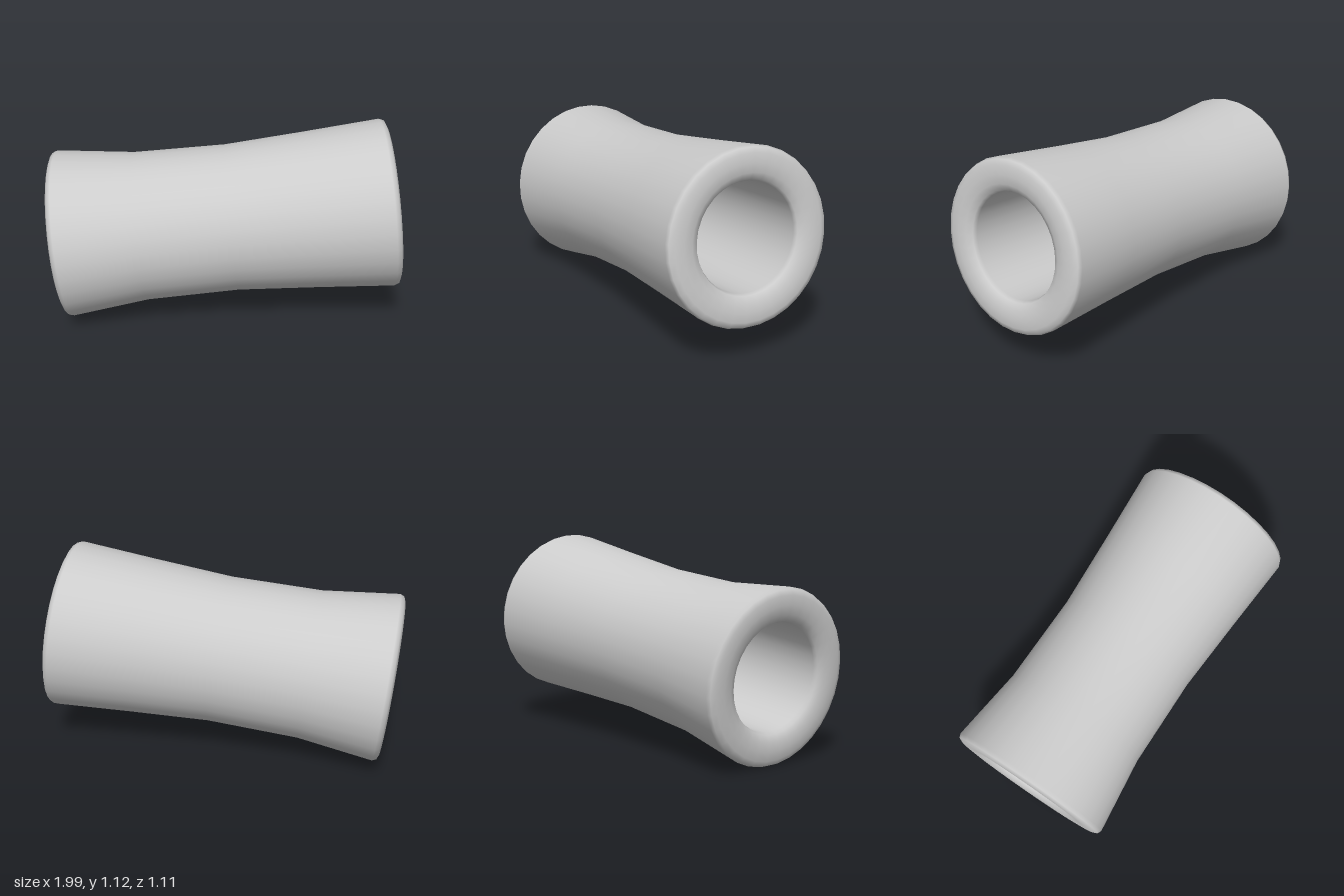
import * as THREE from 'three';

export function createModel() {
  const group = new THREE.Group();
  const grey = new THREE.MeshStandardMaterial({ color: 0xcccccc });
  grey.name = 'plain grey';

  // closed wall profile [radius, distance along the axis]
  const profile = [
    [0.295, 0], [0.297, -0.48], [0.29, -0.9], [0.3, -0.922],                // bore
    [0.335, -0.94], [0.385, -0.947], [0.435, -0.943], [0.463, -0.932],      // left lip
    [0.4725, -0.91], [0.421, -0.48], [0.414, 0.035], [0.442, 0.48],         // waisted outside
    [0.4725, 0.91], [0.463, 0.932], [0.435, 0.943], [0.385, 0.947],         // right lip
    [0.335, 0.94], [0.3, 0.922], [0.29, 0.9], [0.295, 0],                   // bore
  ].map(([r, t]) => new THREE.Vector2(r, t));

  const sleeve = new THREE.Mesh(new THREE.LatheGeometry(profile, 32), grey);
  sleeve.name = 'sleeve';

  // lay the sleeve along x, tilted slightly up and forward at the right end
  const axis = new THREE.Vector3(1, 0.103, 0.096).normalize();
  sleeve.quaternion.setFromUnitVectors(new THREE.Vector3(0, 1, 0), axis);
  sleeve.position.y = 0.568;
  group.add(sleeve);
  return group;
}
